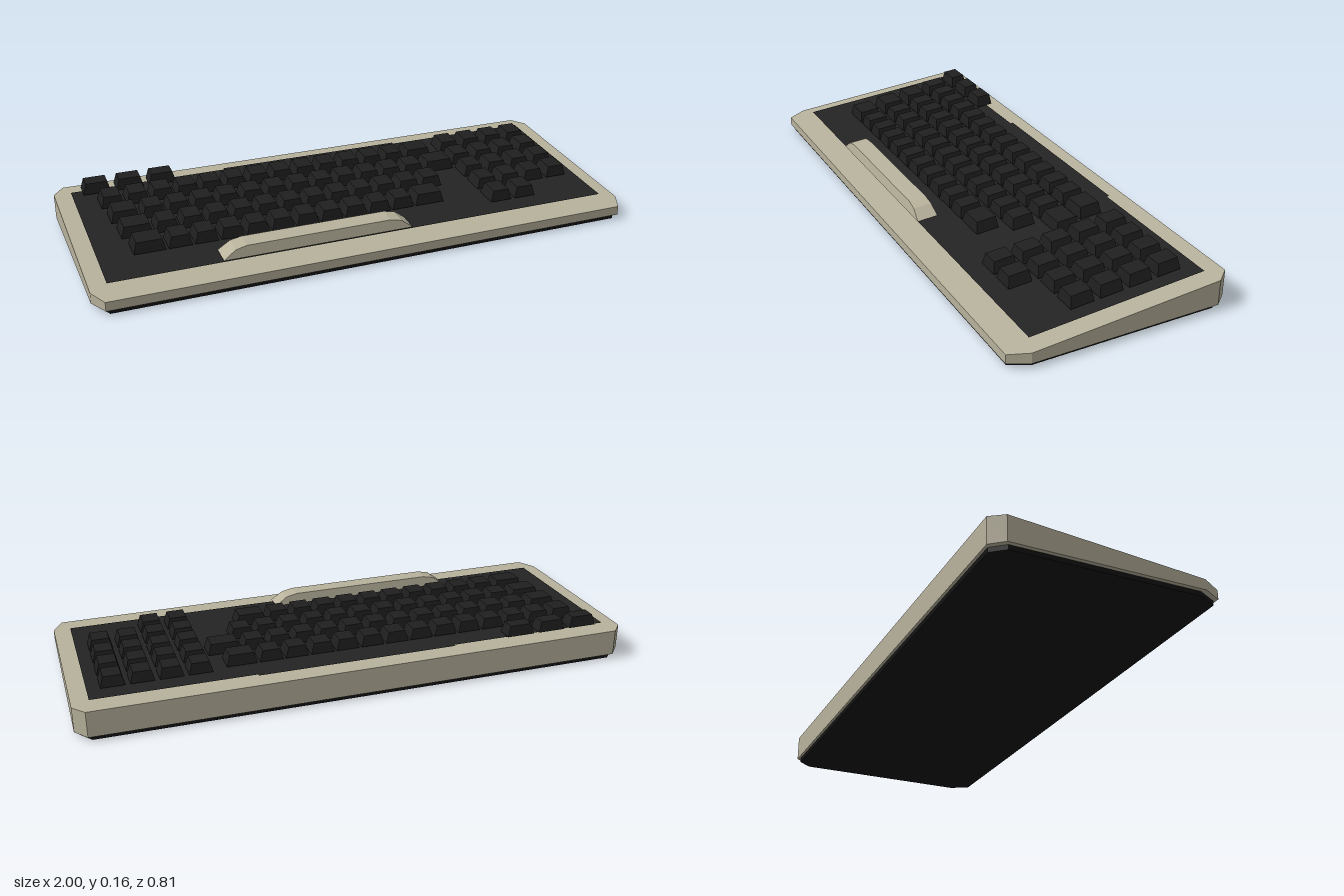
import * as THREE from 'three';

const caseMat = new THREE.MeshStandardMaterial({ color: 0xb8b29c });
caseMat.name = 'warm beige';
const keyMat = new THREE.MeshStandardMaterial({ color: 0x1f1f20 });
keyMat.name = 'key black';
const deckMat = new THREE.MeshStandardMaterial({ color: 0x232323, side: THREE.DoubleSide });
deckMat.name = 'deck charcoal';
const baseMat = new THREE.MeshStandardMaterial({ color: 0x141414 });
baseMat.name = 'base black';

const SLOPE = 0.0785; // fall of the deck towards the front
const KEY_Y = 0.097, KEY_H = 0.04, KEY_W = 0.084, PITCH = 0.093;

// Move every vertex by a rule, then refresh the flat normals
function reshape(geo, rule) {
  const p = geo.attributes.position, v = new THREE.Vector3();
  for (let i = 0; i < p.count; i++) {
    rule(v.fromBufferAttribute(p, i));
    p.setXYZ(i, v.x, v.y, v.z);
  }
  geo.computeVertexNormals();
  return geo;
}
const tilt = v => { v.y -= SLOPE * v.z; };

function add(parent, name, geo, mat) {
  const m = new THREE.Mesh(geo, mat);
  m.name = name;
  parent.add(m);
}

// Slab with cut corners, standing between y0 and y1
function slab(x, z, y0, y1) {
  const pts = [[x - 0.035, z], [x, z - 0.07], [x, -z + 0.048], [x - 0.04, -z]];
  const all = [...pts, ...pts.map(([a, b]) => [-a, b]).reverse()];
  const shape = new THREE.Shape(all.map(([a, b]) => new THREE.Vector2(a, -b)));
  const geo = new THREE.ExtrudeGeometry(shape, { depth: y1 - y0, bevelEnabled: false });
  return geo.rotateX(-Math.PI / 2).translate(0, y0, 0);
}

// Tapered key cap given its left edge, width, centre z and depth
function addKey(parent, x0, w, z, d) {
  const geo = new THREE.BoxGeometry(w, KEY_H, d);
  reshape(geo, v => {
    if (v.y > 0) {
      v.x -= Math.sign(v.x) * 0.011;
      v.z -= Math.sign(v.z) * 0.006;
    }
    v.x += x0 + w / 2;
    v.y += KEY_Y + KEY_H / 2;
    v.z += z;
    tilt(v);
  });
  add(parent, 'key', geo, keyMat);
}

// Thin sloping plate on top of the case
function addPlate(parent, name, x0, x1, z0, z1) {
  const geo = new THREE.PlaneGeometry(x1 - x0, z1 - z0).rotateX(-Math.PI / 2);
  geo.translate((x0 + x1) / 2, 0.091, (z0 + z1) / 2);
  add(parent, name, reshape(geo, tilt), deckMat);
}

export function createModel() {
  const model = new THREE.Group();
  model.name = 'keyboard';

  // Base and wedge-shaped case
  add(model, 'base', slab(0.985, 0.393, 0, 0.017), baseMat);
  const shell = reshape(slab(1, 0.403, 0.017, 0.1), v => {
    if (v.y > 0.05) v.y = 0.0815 - 0.078 * v.z;
  });
  add(model, 'case', shell, caseMat);

  // Dark key deck with a small lip at the back
  addPlate(model, 'deck', -0.94, 0.94, -0.335, 0.31);
  addPlate(model, 'deckLip', -0.35, 0.37, -0.345, -0.335);

  // Three keys at the back left corner
  const topKeys = new THREE.Group();
  topKeys.name = 'topKeys';
  model.add(topKeys);
  for (let i = 0; i < 3; i++) addKey(topKeys, -0.9 + i * 0.123, 0.102, -0.321, 0.064);

  // Letter rows: optional wide first key, regular keys, optional wide last key
  const letterKeys = new THREE.Group();
  letterKeys.name = 'letterKeys';
  model.add(letterKeys);
  const rows = [
    { x: -0.858, z: -0.21, first: 0, count: 13, last: 0.108 },
    { x: -0.847, z: -0.094, first: 0.104, count: 12, last: 0.118 },
    { x: -0.836, z: 0.02, first: 0.113, count: 12, last: 0 },
    { x: -0.82, z: 0.136, first: 0.113, count: 10, last: 0.113 },
  ];
  for (const r of rows) {
    let x = r.x;
    const widths = [r.first, ...Array(r.count).fill(KEY_W), r.last].filter(w => w > 0);
    for (const w of widths) {
      addKey(letterKeys, x, w, r.z, 0.085);
      x += w + PITCH - KEY_W;
    }
  }

  // Number pad, with only two keys in its front row
  const numberPad = new THREE.Group();
  numberPad.name = 'numberPad';
  model.add(numberPad);
  for (let r = 0; r < 5; r++) {
    for (let c = 0; c < (r < 4 ? 4 : 2); c++) {
      addKey(numberPad, 0.511 + c * 0.1, KEY_W, -0.23 + r * 0.108, 0.086);
    }
  }

  // Space bar with bevelled ends and tapered front and back
  const profile = [[-0.545, 0], [0.155, 0], [0.112, 0.031], [0.07, 0.04], [-0.46, 0.04], [-0.502, 0.031]];
  const bar = new THREE.ExtrudeGeometry(
    new THREE.Shape(profile.map(([x, y]) => new THREE.Vector2(x, y))),
    { depth: 0.077, bevelEnabled: false }
  ).translate(0, 0, -0.0385);
  reshape(bar, v => {
    v.z -= Math.sign(v.z) * 0.15 * v.y;
    v.y += 0.098;
    v.z += 0.277;
    tilt(v);
  });
  add(model, 'spaceBar', bar, caseMat);

  return model;
}
